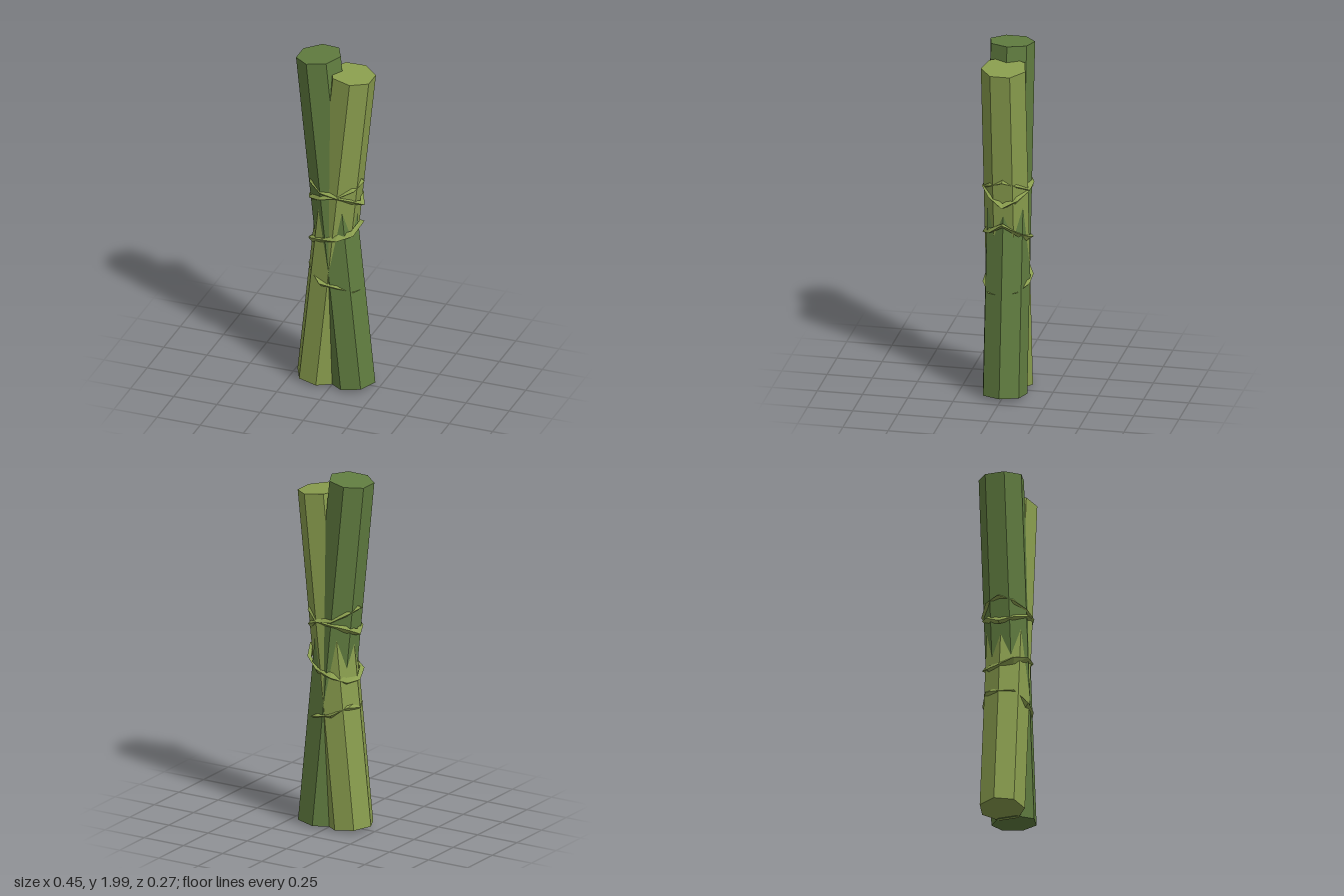
import * as THREE from 'three';

export function createModel() {
  const group = new THREE.Group();
  const darkGreen = new THREE.MeshStandardMaterial({ color: 0x617d40, flatShading: true });
  darkGreen.name = 'darkGreen';
  const oliveGreen = new THREE.MeshStandardMaterial({ color: 0x8a9e4e, flatShading: true });
  oliveGreen.name = 'oliveGreen';

  // seven-sided stalk between two points, one corner turned to the given side
  function stalk(name, material, bottom, top, side) {
    const axis = new THREE.Vector2().subVectors(top, bottom);
    const geo = new THREE.CylinderGeometry(0.126, 0.126, axis.length(), 7);
    geo.rotateY(side * Math.PI / 2);
    geo.rotateZ(Math.atan2(-axis.x, axis.y));
    geo.translate((bottom.x + top.x) / 2, (bottom.y + top.y) / 2, 0);
    const mesh = new THREE.Mesh(geo, material);
    mesh.name = name;
    group.add(mesh);
  }
  const v = (x, y) => new THREE.Vector2(x, y);
  stalk('darkStalk', darkGreen, v(0.1, 0.02), v(-0.1, 1.987), 1);
  stalk('lightStalk', oliveGreen, v(-0.1, 0.02), v(0.095, 1.905), -1);

  // small seeded generator, -1..1
  let seed = 7;
  const jitter = () => {
    seed = (seed * 16807) % 2147483647;
    return (seed / 2147483647) * 2 - 1;
  };

  // jagged tilted ring with a three-cornered section
  function tie(name, yLeft, yFront, yRight, yBack) {
    const n = 10, pos = [], index = [];
    for (let i = 0; i < n; i++) {
      const a = (i / n) * Math.PI * 2;
      const c = Math.cos(a), s = Math.sin(a);
      const y = (c > 0 ? yRight : yLeft) * c * c + (s > 0 ? yFront : yBack) * s * s + jitter() * 0.01;
      const ridge = 0.007 + jitter() * 0.005;
      const h = 0.017 + jitter() * 0.006;
      const lean = jitter() * 0.014;
      for (const [out, up] of [[ridge, lean], [-0.014, h], [-0.014, -h]]) {
        pos.push((0.152 + out) * c, y + up, (0.132 + out) * s);
      }
      const j = (i + 1) % n;
      for (let k = 0; k < 3; k++) {
        const l = (k + 1) % 3;
        const p = i * 3 + k, q = i * 3 + l, r = j * 3 + k, t = j * 3 + l;
        index.push(p, q, r, q, t, r);
      }
    }
    const geo = new THREE.BufferGeometry();
    geo.setAttribute('position', new THREE.Float32BufferAttribute(pos, 3));
    geo.setIndex(index);
    geo.computeVertexNormals();
    const mesh = new THREE.Mesh(geo, oliveGreen);
    mesh.name = name;
    group.add(mesh);
  }
  // heights at -x, front, +x and back
  tie('upperTieFalling', 1.26, 1.19, 1.13, 1.19);
  tie('upperTieRising', 1.13, 1.18, 1.26, 1.18);
  tie('middleTie', 0.86, 0.92, 1.0, 0.89);
  tie('lowerTie', 0.72, 0.65, 0.59, 0.65);

  return group;
}
